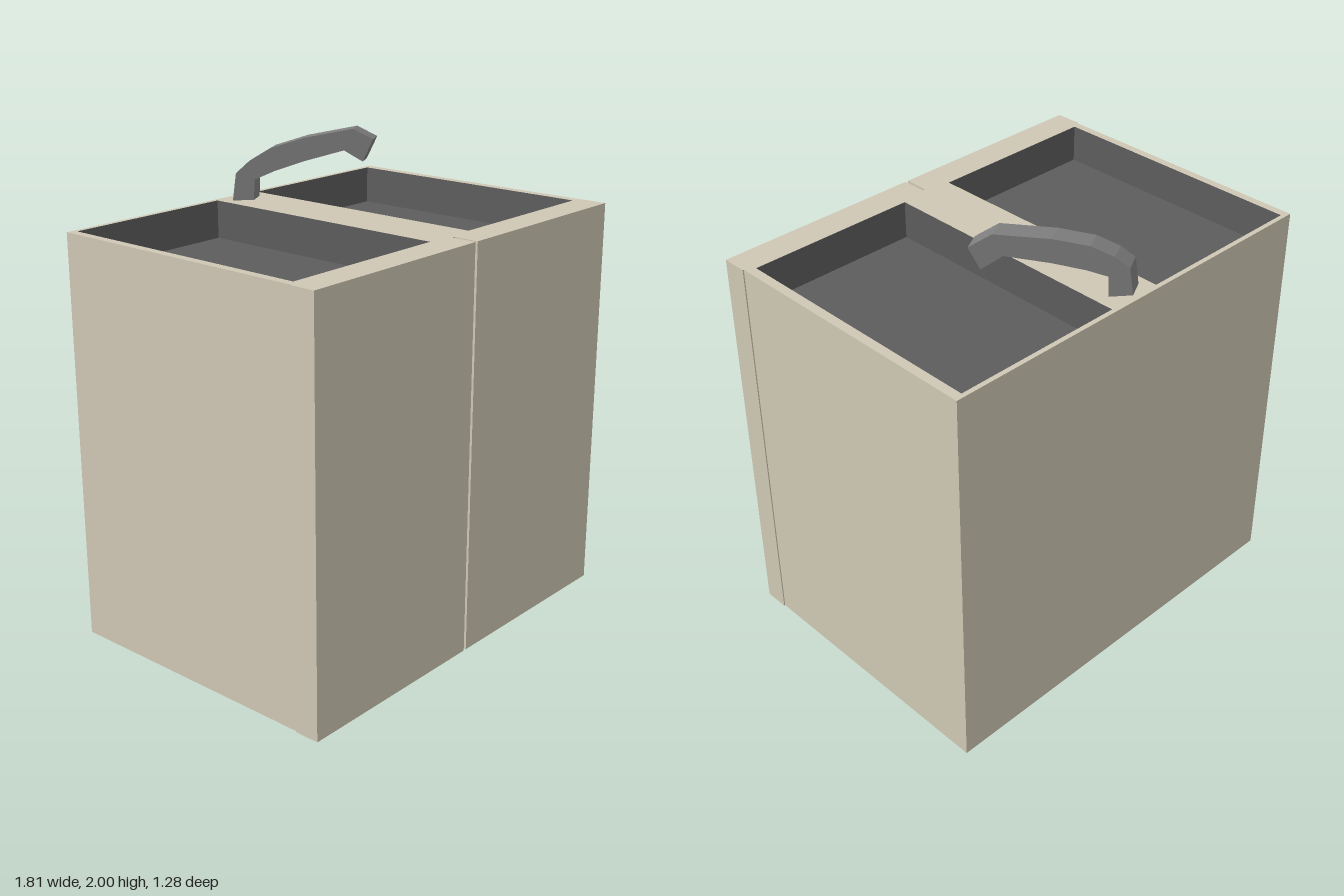
import * as THREE from 'three';

const TAN = 0xcfc7b4, DARK = 0x5c5c5c, STEEL = 0x808080;
const HEIGHT = 1.715, BASIN_DEPTH = 0.16;

function add(parent, name, geometry, color, x = 0, y = 0, z = 0) {
  const mesh = new THREE.Mesh(geometry, new THREE.MeshStandardMaterial({ color }));
  mesh.name = name;
  mesh.position.set(x, y, z);
  parent.add(mesh);
  return mesh;
}

// Box without its top face; inward turns it into a basin lining
function openBox(w, h, d, inward = false) {
  let g = new THREE.BoxGeometry(w, h, d);
  const index = Array.from(g.index.array);
  index.splice(12, 6);
  g.setIndex(index);
  if (inward) {
    g.scale(-1, 1, 1);
    g = g.toNonIndexed();
    g.computeVertexNormals();
  }
  return g;
}

// Rectangle outline in plan; shape y is -z
function rectangle(target, [x0, x1, z0, z1]) {
  target.moveTo(x0, -z1);
  target.lineTo(x1, -z1);
  target.lineTo(x1, -z0);
  target.lineTo(x0, -z0);
  target.closePath();
  return target;
}

export function createModel() {
  const sink = new THREE.Group();
  sink.name = 'doubleSinkCabinet';

  // Cabinet shell
  const back = -0.64, front = 0.53, halfWidth = 0.9;
  add(sink, 'cabinet', openBox(2 * halfWidth, HEIGHT, front - back), TAN,
    0, HEIGHT / 2, (back + front) / 2);

  // Worktop with two basin openings
  const basins = [[-0.865, -0.115, -0.62, 0.507], [0.125, 0.86, -0.62, 0.507]];
  const top = rectangle(new THREE.Shape(), [-halfWidth, halfWidth, back, front]);
  for (const b of basins) top.holes.push(rectangle(new THREE.Path(), b));
  add(sink, 'worktop', new THREE.ShapeGeometry(top).rotateX(-Math.PI / 2), TAN, 0, HEIGHT, 0);

  // Basin linings
  basins.forEach(([x0, x1, z0, z1], i) => {
    add(sink, i ? 'leftBasin' : 'rightBasin', openBox(x1 - x0, BASIN_DEPTH, z1 - z0, true), DARK,
      (x0 + x1) / 2, HEIGHT - BASIN_DEPTH / 2, (z0 + z1) / 2);
  });

  // Pair of doors with a narrow gap between them
  const gap = 0.007, doorEdge = 0.905, doorFront = 0.637;
  for (const side of [-1, 1]) {
    add(sink, side > 0 ? 'leftDoor' : 'rightDoor',
      new THREE.BoxGeometry(doorEdge - gap, HEIGHT, doorFront - front), TAN,
      side * (doorEdge + gap) / 2, HEIGHT / 2, (doorFront + front) / 2);
  }

  // Faceted tap: side profile, sheared so it swings diagonally over the left basin
  const profile = [
    [-0.037, 1.715], [0.033, 1.715], [0.036, 1.8], [0.1, 1.832], [0.2, 1.87], [0.335, 1.91],
    [0.398, 1.86], [0.433, 1.953], [0.365, 2.0], [0.2, 1.968], [0.09, 1.93], [0.02, 1.88], [-0.025, 1.83],
  ];
  const shape = new THREE.Shape(profile.map(([x, y]) => new THREE.Vector2(x, y)));
  const tap = new THREE.ExtrudeGeometry(shape, { depth: 1, bevelEnabled: false });
  tap.applyMatrix4(new THREE.Matrix4().makeBasis(
    new THREE.Vector3(1, 0, 0.79),
    new THREE.Vector3(0, 1, 0),
    new THREE.Vector3(-0.075, 0, 0.04)));
  tap.computeVertexNormals();
  add(sink, 'tap', tap, STEEL, 0.0375, 0, -0.58).material.flatShading = true;

  return sink;
}
